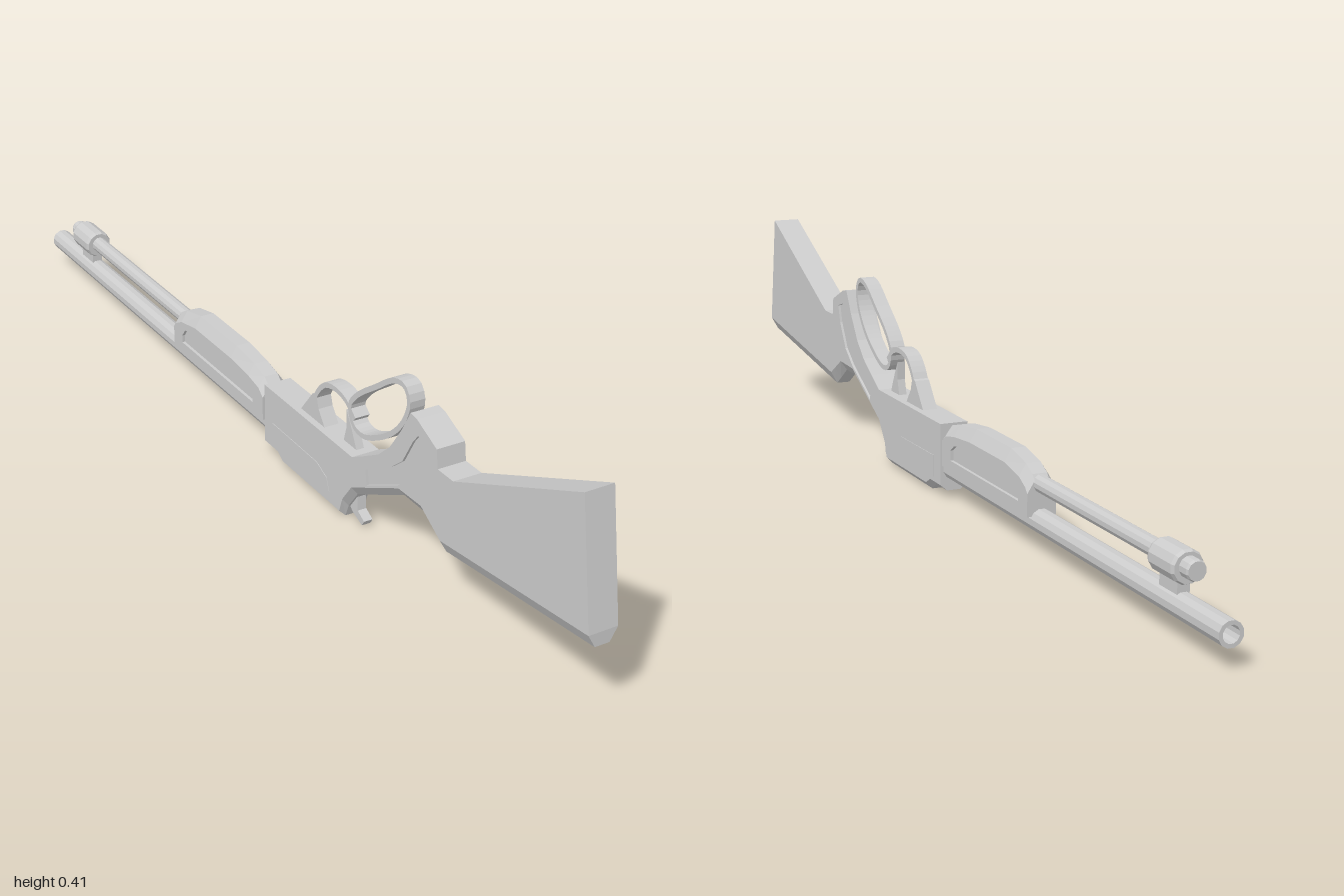
import * as THREE from 'three';

const material = new THREE.MeshStandardMaterial({ color: 0xcccccc, flatShading: true });
const W = 0.028; // half width of the body
const V = (list) => list.map(([z, y]) => new THREE.Vector2(z, y));

export function createModel() {
  const model = new THREE.Group();

  function add(name, geometry, parent = model) {
    const mesh = new THREE.Mesh(geometry, material);
    mesh.name = name;
    parent.add(mesh);
    return mesh;
  }

  // Side profile (z, y) extruded across x from x0 to x1
  function slab(outline, x0, x1, holes = []) {
    const shape = new THREE.Shape(V(outline));
    for (const hole of holes) shape.holes.push(new THREE.Path(V(hole)));
    const g = new THREE.ExtrudeGeometry(shape, { depth: x1 - x0, bevelEnabled: false });
    return g.rotateY(-Math.PI / 2).translate(x1, 0, 0);
  }

  // Solid core with side skins that leave recessed panels
  function panelled(name, outline, holes, depth = 0.005) {
    const group = new THREE.Group();
    group.name = name;
    add(name + 'Core', slab(outline, -W + depth, W - depth), group);
    add(name + 'LeftSide', slab(outline, W - depth, W, holes), group);
    add(name + 'RightSide', slab(outline, -W, -W + depth, holes), group);
    model.add(group);
  }

  // Bevelled edge strip; stations are [z, wide y, narrow y], running towards -z
  function bevelStrip(name, stations, narrow = 0.014) {
    const pos = [];
    const quad = (a, b, c, d) => pos.push(...a, ...b, ...c, ...a, ...c, ...d);
    const up = stations[0][2] > stations[0][1];
    const s = up ? -1 : 1;
    const ring = ([z, yw, yn]) => [[-s * W, yw, z], [-s * narrow, yn, z], [s * narrow, yn, z], [s * W, yw, z]];
    const rings = stations.map(ring);
    for (let i = 0; i + 1 < rings.length; i++) {
      const a = rings[i], b = rings[i + 1];
      for (let j = 0; j < 3; j++) quad(a[j], b[j], b[j + 1], a[j + 1]);
    }
    const first = rings[0], last = rings[rings.length - 1];
    quad(first[0], first[1], first[2], first[3]);
    quad(last[3], last[2], last[1], last[0]);
    const g = new THREE.BufferGeometry();
    g.setAttribute('position', new THREE.Float32BufferAttribute(pos, 3));
    g.computeVertexNormals();
    add(name, g);
  }

  // Flat metal band following a curve in the side plane
  function band(name, points, closed, half, thick, samples) {
    const curve = new THREE.CatmullRomCurve3(points.map(([z, y]) => new THREE.Vector3(z, y, 0)), closed);
    const a = [], b = [];
    for (let i = 0; i < samples + (closed ? 0 : 1); i++) {
      const p = curve.getPointAt(i / samples), t = curve.getTangentAt(i / samples);
      a.push([p.x - t.y * thick, p.y + t.x * thick]);
      b.push([p.x + t.y * thick, p.y - t.x * thick]);
    }
    if (!closed) return add(name, slab([...a, ...b.reverse()], -half, half));
    const area = (l) => Math.abs(THREE.ShapeUtils.area(V(l)));
    const [outer, inner] = area(a) > area(b) ? [a, b] : [b, a];
    return add(name, slab(outer, -half, half, [inner]));
  }

  // Lathe along -z; profile is [radius, z], from muzzle end backwards
  function tube(name, y, profile, sides = 12) {
    const pts = profile.map(([r, z]) => new THREE.Vector2(r, z));
    const g = new THREE.LatheGeometry(pts, sides, Math.PI / sides).rotateX(Math.PI / 2).translate(0, y, 0);
    const mesh = add(name, g);
    mesh.material = material.clone();
    mesh.material.side = THREE.DoubleSide;
    return mesh;
  }

  // Stock, wrist and receiver as one body
  const lower = [
    [0.996, 0.18, 0.155], [0.6, 0.13, 0.105], [0.575, 0.145, 0.122], [0.54, 0.166, 0.146],
    [0.47, 0.164, 0.146], [0.4, 0.128, 0.11], [0.32, 0.088, 0.07], [0.29, 0.048, 0.03],
    [0.28, 0.018, 0.004], [0.075, 0.018, 0.004], [0.055, 0.03, 0.018], [0.005, 0.03, 0.018],
  ];
  const upper = [
    [0.005, 0.15], [0.32, 0.15], [0.36, 0.172], [0.405, 0.198], [0.44, 0.23], [0.475, 0.28],
    [0.5, 0.325], [0.52, 0.322], [0.58, 0.295], [0.585, 0.26], [0.63, 0.26], [0.96, 0.412],
  ];
  const gripPanel = [
    [0.55, 0.285], [0.525, 0.293], [0.51, 0.275], [0.48, 0.222], [0.45, 0.197],
    [0.365, 0.147], [0.37, 0.118], [0.47, 0.17], [0.51, 0.2], [0.54, 0.25],
  ];
  panelled('body', [...lower.map(([z, y]) => [z, y]), ...upper], [gripPanel]);
  bevelStrip('bodyBevel', lower);
  const plate = [[0.245, 0.04], [0.235, 0.065], [0.2, 0.08], [0.035, 0.082], [0.035, 0.04]];
  add('receiverPlate', slab(plate, -W - 0.001, W + 0.001));

  // Fore-end with a recessed grip panel on each side
  const foreEdge = [
    [-0.003, 0.118, 0.138], [-0.02, 0.132, 0.152], [-0.06, 0.14, 0.162], [-0.13, 0.146, 0.17],
    [-0.28, 0.146, 0.17], [-0.34, 0.135, 0.157], [-0.365, 0.122, 0.144], [-0.374, 0.112, 0.134],
  ];
  const forePanel = [
    [-0.043, 0.09], [-0.043, 0.11], [-0.06, 0.122], [-0.11, 0.133], [-0.19, 0.137],
    [-0.29, 0.132], [-0.325, 0.122], [-0.338, 0.105], [-0.338, 0.09],
  ];
  panelled('foreEnd', [[-0.374, 0.07], [-0.003, 0.07], ...foreEdge.map(([z, y]) => [z, y])], [forePanel], 0.006);
  bevelStrip('foreEndBevel', foreEdge);

  // Hollow barrel, magazine tube and its band
  tube('barrel', 0.061, [[0, -0.94], [0.015, -0.94], [0.015, -1], [0.022, -1], [0.022, 0.01]]);
  tube('magazineTube', 0.127, [[0, -0.88], [0.016, -0.88], [0.016, -0.36]]);
  tube('magazineBand', 0.125, [[0.014, -0.875], [0.026, -0.875], [0.029, -0.868], [0.029, -0.8], [0.026, -0.793], [0.014, -0.793]]);
  tube('magazineCap', 0.127, [[0, -0.9], [0.016, -0.9], [0.018, -0.895], [0.018, -0.87]]);
  const block = add('bandBlock', new THREE.BoxGeometry(0.022, 0.04, 0.055));
  block.position.set(0, 0.09, -0.833);

  // Finger loop, guard and its foot
  band('leverLoop', [
    [0.474, 0.33], [0.46, 0.352], [0.43, 0.35], [0.37, 0.31], [0.31, 0.265], [0.288, 0.235],
    [0.3, 0.202], [0.33, 0.195], [0.385, 0.218], [0.435, 0.255], [0.465, 0.295],
  ], true, 0.015, 0.005, 44);
  band('triggerGuard', [
    [0.305, 0.215], [0.275, 0.238], [0.24, 0.245], [0.205, 0.238], [0.18, 0.215], [0.165, 0.19],
  ], false, 0.015, 0.005, 14);
  add('guardFoot', slab([[0.205, 0.148], [0.182, 0.178], [0.173, 0.205], [0.16, 0.2], [0.118, 0.148]], -0.015, 0.015));

  // Trigger and hammer
  add('trigger', slab([[0.305, 0.145], [0.285, 0.185], [0.267, 0.216], [0.268, 0.18], [0.258, 0.145]], -0.008, 0.008));
  add('hammer', slab([[0.275, 0.065], [0.31, 0.06], [0.313, 0.03], [0.335, 0.018], [0.328, 0.007], [0.298, 0.018], [0.275, 0.035]], -0.009, 0.009));

  return model;
}
